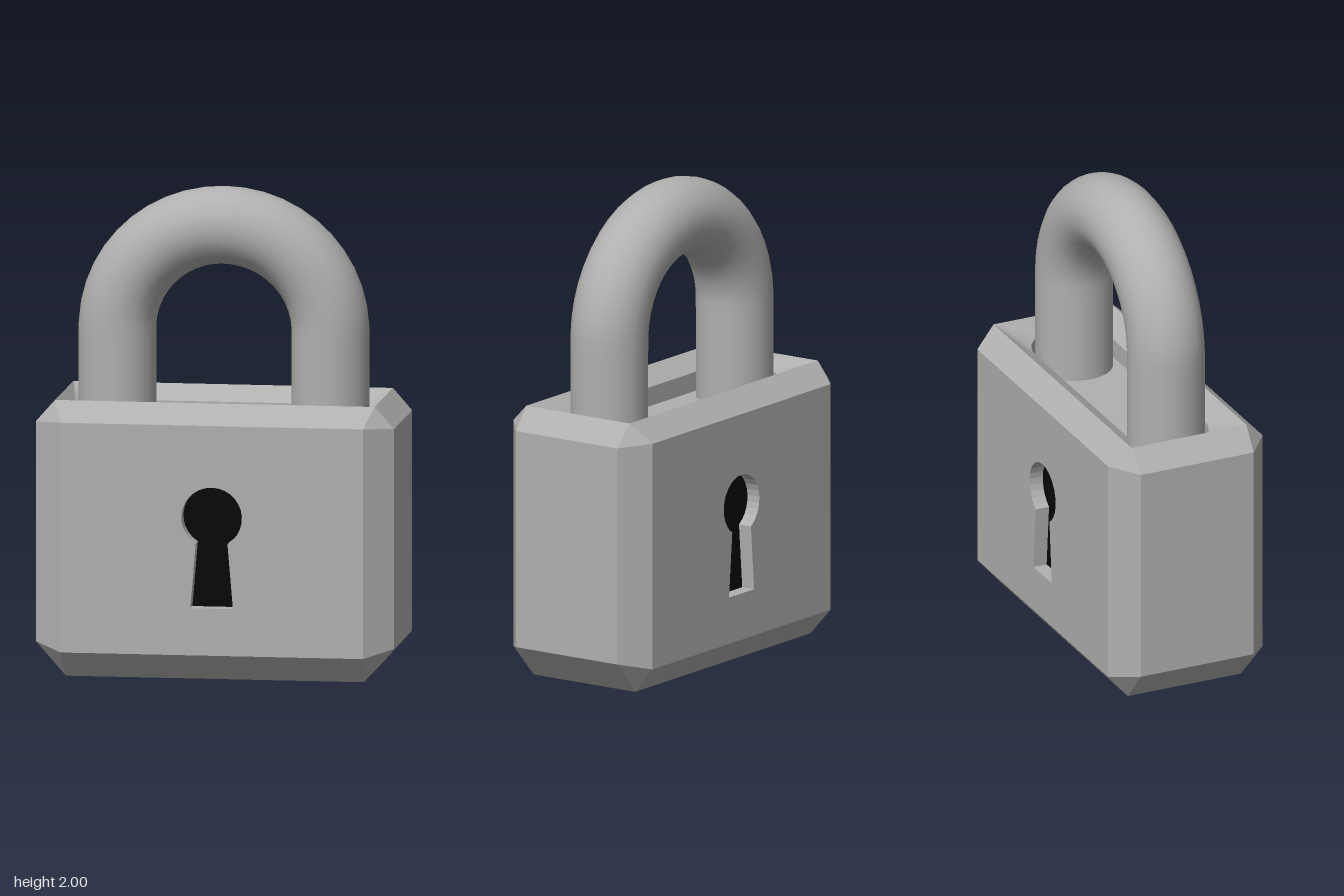
import * as THREE from 'three';

const V = (x, y, z) => new THREE.Vector3(x, y, z);

// Collects flat convex polygons; each is turned to face the given direction.
class Faces {
  positions = [];
  add(pts, dir) {
    const n = V(0, 0, 0);
    for (let i = 1; i < pts.length - 1; i++) {
      n.add(pts[i].clone().sub(pts[0]).cross(pts[i + 1].clone().sub(pts[0])));
    }
    const p = n.dot(dir) < 0 ? [...pts].reverse() : pts;
    for (let i = 1; i < p.length - 1; i++) {
      for (const v of [p[0], p[i], p[i + 1]]) this.positions.push(v.x, v.y, v.z);
    }
  }
  mesh(name, material) {
    const g = new THREE.BufferGeometry();
    g.setAttribute('position', new THREE.Float32BufferAttribute(this.positions, 3));
    g.computeVertexNormals();
    const m = new THREE.Mesh(g, material);
    m.name = name;
    return m;
  }
}

// Round hole above a slot that widens downwards
function keyholePoints() {
  const pts = [];
  const start = -Math.PI / 2 + 0.55;
  for (let i = 0; i <= 24; i++) {
    const a = start + (i / 24) * (Math.PI * 2 - 1.1);
    pts.push(new THREE.Vector2(0.125 * Math.cos(a), 0.68 + 0.125 * Math.sin(a)));
  }
  pts.push(new THREE.Vector2(-0.088, 0.305), new THREE.Vector2(0.088, 0.305));
  return pts;
}

export function createModel() {
  const model = new THREE.Group();
  model.name = 'padlock';
  const steel = new THREE.MeshStandardMaterial({ color: 0xb0b1ae });
  steel.name = 'grey steel';
  const black = new THREE.MeshStandardMaterial({ color: 0x080808 });
  black.name = 'keyhole black';

  // Chamfered body: each corner has a front/back, a side and a cap point
  const front = (x, y, z) => V(0.625 * x, y > 0 ? 1.06 : 0.11, 0.35 * z);
  const side = (x, y, z) => V(0.74 * x, y > 0 ? 1.05 : 0.14, 0.255 * z);
  const cap = (x, y, z) => y > 0 ? V(0.66 * x, 1.14, 0.26 * z) : V(0.615 * x, 0, 0.255 * z);
  const shell = new Faces();
  const S = [-1, 1];
  for (const a of S) {
    shell.add([side(a, -1, -1), side(a, -1, 1), side(a, 1, 1), side(a, 1, -1)], V(a, 0, 0));
    for (const b of S) {
      shell.add([front(a, -1, b), side(a, -1, b), side(a, 1, b), front(a, 1, b)], V(a, 0, b));
      shell.add([front(-1, a, b), front(1, a, b), cap(1, a, b), cap(-1, a, b)], V(0, a, b));
      shell.add([side(a, b, -1), side(a, b, 1), cap(a, b, 1), cap(a, b, -1)], V(a, b, 0));
      for (const c of S) shell.add([front(a, b, c), side(a, b, c), cap(a, b, c)], V(a, b, c));
    }
  }
  shell.add([cap(-1, -1, -1), cap(1, -1, -1), cap(1, -1, 1), cap(-1, -1, 1)], V(0, -1, 0));
  model.add(shell.mesh('body', steel));

  // Sunken top sloping from the rim into a rounded slot
  const recess = new Faces();
  const up = V(0, 1, 0);
  const lip = 1.08, floor = 1.0, r = 0.175, cx = 0.44, steps = 8;
  const slot = [];
  for (const x of S) {
    recess.add([cap(x, 1, -1), cap(x, 1, 1), V(x * (cx + r), lip, 0)], up);
    recess.add([cap(-1, 1, x), cap(1, 1, x), V(cx, lip, r * x), V(-cx, lip, r * x)], up);
    for (const z of S) {
      for (let i = 0; i < steps; i++) {
        const [p, q] = [i, i + 1].map(k => {
          const t = (k / steps) * Math.PI / 2;
          return V(x * (cx + r * Math.cos(t)), lip, z * r * Math.sin(t));
        });
        recess.add([cap(x, 1, z), p, q], up);
        slot.push([p, q]);
      }
    }
    slot.push([V(-cx, lip, r * x), V(cx, lip, r * x)]);
  }
  for (const [p, q] of slot) {
    const p2 = p.clone().setY(floor), q2 = q.clone().setY(floor);
    const inward = p.clone().add(q).multiplyScalar(-0.5).setY(0);
    if (Math.abs(p.z - q.z) < 1e-6) inward.set(0, 0, -p.z);
    recess.add([p, q, q2, p2], inward);
    recess.add([V(0, floor, 0), p2, q2], up);
  }
  model.add(recess.mesh('topRecess', steel));

  // Front and back plates, each with a keyhole, its reveal and a dark interior
  const key = keyholePoints();
  const plate = new THREE.Shape([[-1, -1], [1, -1], [1, 1], [-1, 1]].map(([x, y]) => {
    const p = front(x, y, 1);
    return new THREE.Vector2(p.x, p.y);
  }));
  plate.holes.push(new THREE.Path(key));
  const depth = 0.06;
  for (const [name, turn] of [['front', 0], ['back', Math.PI]]) {
    const group = new THREE.Group();
    group.name = name + 'Plate';
    group.rotation.y = turn;
    const face = new THREE.Mesh(new THREE.ShapeGeometry(plate), steel);
    face.name = name + 'Face';
    face.position.z = 0.35;
    const reveal = new Faces();
    key.forEach((p, i) => {
      const q = key[(i + 1) % key.length];
      const inward = V(p.y - q.y, q.x - p.x, 0);
      reveal.add([V(p.x, p.y, 0.35), V(q.x, q.y, 0.35),
        V(q.x, q.y, 0.35 - depth), V(p.x, p.y, 0.35 - depth)], inward);
    });
    const dark = new THREE.Mesh(new THREE.ShapeGeometry(new THREE.Shape(key)), black);
    dark.name = name + 'Keyhole';
    dark.position.z = 0.35 - depth;
    group.add(face, reveal.mesh(name + 'KeyholeReveal', steel), dark);
    model.add(group);
  }

  // Shackle: two straight legs joined by an arch
  const path = new THREE.CurvePath();
  const archY = 1.41;
  path.add(new THREE.LineCurve3(V(-cx, floor, 0), V(-cx, archY, 0)));
  class Arch extends THREE.Curve {
    getPoint(t, out = V(0, 0, 0)) {
      const a = Math.PI * (1 - t);
      return out.set(cx * Math.cos(a), archY + 0.43 * Math.sin(a), 0);
    }
  }
  path.add(new Arch());
  path.add(new THREE.LineCurve3(V(cx, archY, 0), V(cx, floor, 0)));
  const shackle = new THREE.Mesh(new THREE.TubeGeometry(path, 36, 0.16, 24), steel);
  shackle.name = 'shackle';
  model.add(shackle);

  return model;
}
